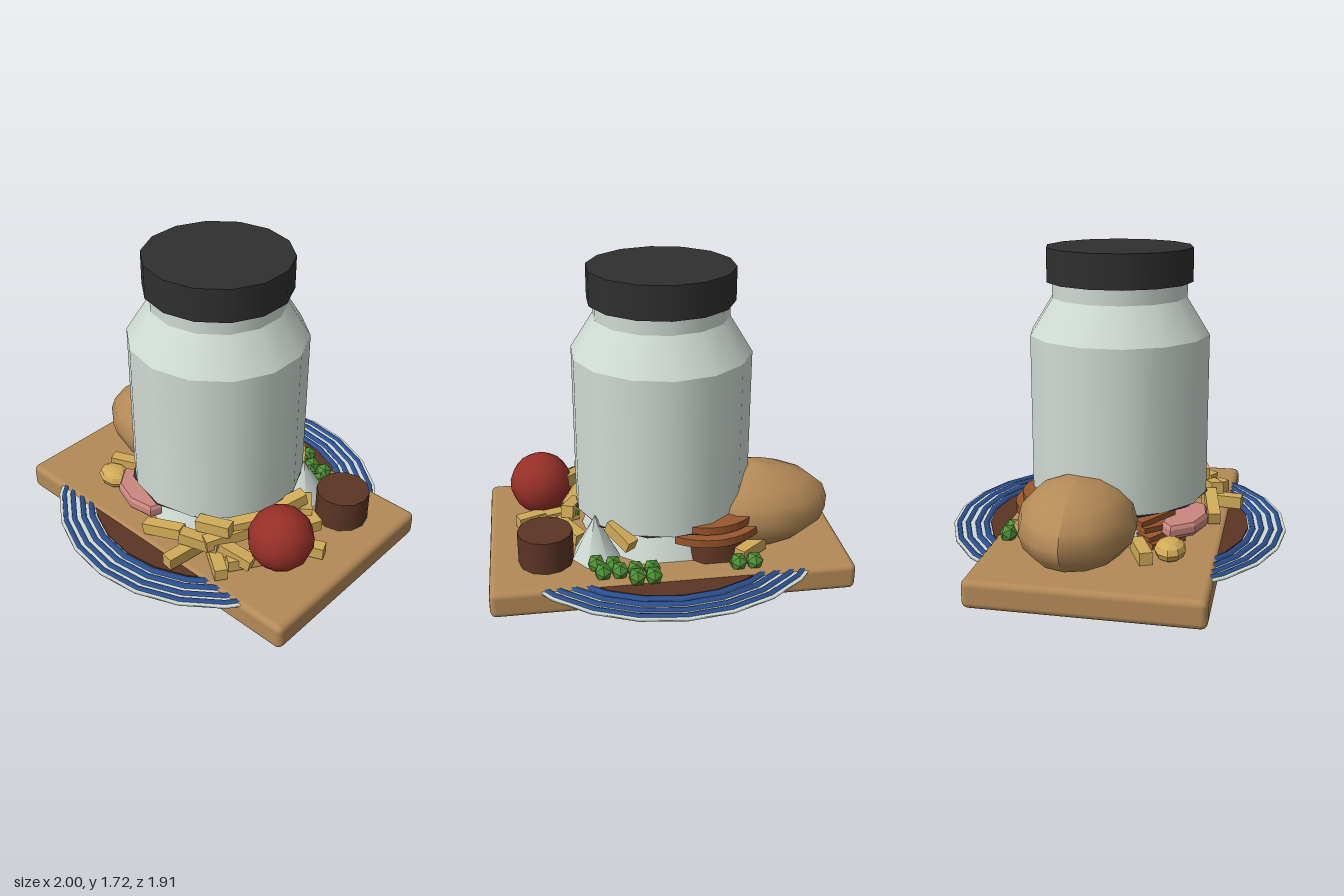
import * as THREE from 'three';
import { RoundedBoxGeometry } from 'three/addons/geometries/RoundedBoxGeometry.js';

const mat = (name, color, flatShading = false) => {
  const m = new THREE.MeshStandardMaterial({ color, flatShading });
  m.name = name;
  return m;
};

export function createModel() {
  const root = new THREE.Group();
  root.name = 'jarMeal';
  const wood = mat('wood', 0xb48a57), pale = mat('paleGlaze', 0xd0dbd4);
  const black = mat('black', 0x2f2f2f), blue = mat('blue', 0x2c5092);
  const cocoa = mat('cocoa', 0x5c3524), red = mat('red', 0x962f28);
  const green = mat('green', 0x4f9036, true), pink = mat('pink', 0xcc877f, true);
  const potato = mat('potatoYellow', 0xd0ab58, true), rust = mat('rust', 0x99572c, true);
  pale.side = THREE.DoubleSide;

  const add = (name, geo, m, x = 0, y = 0, z = 0) => {
    const mesh = new THREE.Mesh(geo, m);
    mesh.name = name;
    mesh.position.set(x, y, z);
    root.add(mesh);
    return mesh;
  };
  const lathe = (pts, sides) =>
    new THREE.LatheGeometry(pts.map(([r, y]) => new THREE.Vector2(r, y)), sides);
  // Stacked section between two heights
  const drum = (name, m, rTop, rBottom, y0, y1, sides, x = 0, z = 0) =>
    add(name, new THREE.CylinderGeometry(rTop, rBottom, y1 - y0, sides), m, x, (y0 + y1) / 2, z);

  // Serving board
  add('board', new RoundedBoxGeometry(2, 0.155, 1.24, 2, 0.035), wood, 0, 0.079, 0);

  // Plate passing through the board, with raised blue rings
  add('plate', lathe([[0.25, 0], [0.5, 0], [0.62, 0.045], [0.955, 0.13], [0.955, 0.145], [0.75, 0.135], [0, 0.13]], 24), pale);
  for (const r of [0.925, 0.875, 0.82, 0.77]) {
    add('plateStripe', lathe([[r + 0.017, 0.135], [r + 0.011, 0.153], [r - 0.011, 0.153], [r - 0.017, 0.135]], 24), blue);
  }
  drum('gravy', cocoa, 0.745, 0.745, 0.125, 0.145, 24);

  // Jar and lid
  drum('jarBody', pale, 0.5, 0.5, 0.35, 1.25, 14);
  drum('jarShoulder', pale, 0.375, 0.5, 1.25, 1.45, 14);
  drum('jarNeck', pale, 0.375, 0.375, 1.45, 1.54, 14);
  drum('lid', black, 0.405, 0.405, 1.535, 1.72, 14);
  drum('jarBase', black, 0.51, 0.46, 0.325, 0.35, 11);
  drum('mash', pale, 0.4, 0.47, 0.15, 0.325, 9);
  const dollop = add('dollop', new THREE.ConeGeometry(0.14, 0.26, 7), pale, 0.41, 0.28, -0.3);
  dollop.scale.z = 1.1;

  // Bread roll, narrower toward its outer end
  const roll = new THREE.SphereGeometry(1, 12, 8);
  const p = roll.attributes.position;
  for (let i = 0; i < p.count; i++) {
    const x = p.getX(i), taper = 1 + 0.12 * x;
    p.setXYZ(i, x * 0.4, p.getY(i) * 0.235 * taper, p.getZ(i) * 0.32 * taper);
  }
  roll.computeVertexNormals();
  add('breadRoll', roll, wood, -0.565, 0.33, -0.12);

  // Tomato and sauce cup
  add('tomato', new THREE.SphereGeometry(0.183, 12, 9), red, 0.687, 0.348, 0.246);
  drum('sauceCup', cocoa, 0.152, 0.152, 0.15, 0.345, 12, 0.687, -0.315);

  // Peas
  const pea = new THREE.IcosahedronGeometry(0.052, 0);
  for (const [x, z] of [[-0.44, -0.535], [-0.35, -0.535], [-0.39, -0.46], [0.125, -0.6], [0.215, -0.6],
    [0.125, -0.53], [0.215, -0.53], [0.3, -0.53], [0.39, -0.53], [0.33, -0.46], [0.42, -0.44]]) {
    add('pea', pea, green, x, 0.185, z).rotation.x = 0.55;
  }

  // Herb stalks
  for (const s of [-1, 1]) {
    const stalk = add('herbStalk', new THREE.BoxGeometry(0.13, 0.02, 0.016), green, 0.535, 0.31, s * 0.045);
    stalk.rotation.y = s * 0.8;
  }

  // Chips: x, y, z, length, yaw, pitch
  const chips = [
    [0.08, 0.23, 0.53, 0.26, 0.2, 0.25], [0.27, 0.2, 0.57, 0.24, 1.45, 0], [0.45, 0.2, 0.5, 0.22, -0.6, 0],
    [0.32, 0.27, 0.5, 0.22, 0.45, -0.15], [0.43, 0.3, 0.4, 0.25, 1.1, 0.1], [0.49, 0.36, 0.28, 0.22, 0.9, 0.15],
    [0.37, 0.36, 0.43, 0.2, 0.3, 0.1], [0.56, 0.2, 0.38, 0.22, 1.0, 0], [0.5, 0.24, 0.42, 0.24, 0.2, -0.2],
    [0.64, 0.19, 0.02, 0.2, -0.8, 0], [0.76, 0.2, 0.07, 0.16, 0.4, 0], [0.62, 0.22, -0.1, 0.16, -0.4, 0],
    [0.55, 0.24, -0.15, 0.2, -0.9, 0.2], [0.52, 0.32, -0.03, 0.2, 1.2, 0.2], [0.5, 0.27, 0.16, 0.24, 1.2, 0],
    [0.58, 0.2, 0.1, 0.2, 0.3, 0], [0.28, 0.34, -0.42, 0.18, -0.9, 0.4], [-0.54, 0.19, 0.22, 0.22, 0.4, 0],
    [-0.44, 0.2, -0.43, 0.2, 0.7, 0],
  ];
  for (const [x, y, z, len, yaw, pitch] of chips) {
    const chip = add('chip', new THREE.BoxGeometry(len, 0.07, 0.07), potato, x, y, z);
    chip.rotation.set(0, yaw, pitch);
  }
  const small = add('smallPotato', new THREE.SphereGeometry(1, 9, 6), potato, -0.51, 0.2, 0.37);
  small.scale.set(0.11, 0.06, 0.085);

  // Curved bacon rashers behind the jar, over a meat patty
  const rasher = (rIn, rOut, a0, a1) => {
    const s = new THREE.Shape();
    s.absarc(0, 0, rOut, a0, a1, false);
    s.absarc(0, 0, rIn, a1, a0, true);
    return new THREE.ExtrudeGeometry(s, { depth: 0.045, bevelEnabled: false, curveSegments: 6 }).rotateX(-Math.PI / 2);
  };
  add('rasher', rasher(0.22, 0.34, 0.9, 2.6), rust, -0.22, 0.29, -0.2);
  add('rasher', rasher(0.18, 0.3, 0.9, 2.6), rust, -0.22, 0.345, -0.2);
  drum('patty', cocoa, 0.17, 0.2, 0.15, 0.29, 9, -0.24, -0.3);

  // Stacked rashers and a ham slice at the front
  for (let i = 0; i < 4; i++) {
    const strip = add('frontRasher', new THREE.BoxGeometry(0.24, 0.03, 0.12), rust, -0.34 + 0.02 * (i % 2), 0.175 + i * 0.043, 0.3 - 0.02 * i);
    strip.rotation.set(0, -0.7, i % 2 ? 0.08 : -0.08);
  }
  const ham = new THREE.Shape([[-0.42, -0.36], [-0.36, -0.31], [-0.2, -0.34], [-0.04, -0.45], [-0.06, -0.5],
    [-0.2, -0.52], [-0.34, -0.47]].map(([x, z]) => new THREE.Vector2(x, z)));
  add('hamSlice', new THREE.ExtrudeGeometry(ham, { depth: 0.035, bevelThickness: 0.02, bevelSize: 0.012, bevelSegments: 1 })
    .rotateX(-Math.PI / 2), pink, 0, 0.235, 0);

  return root;
}
